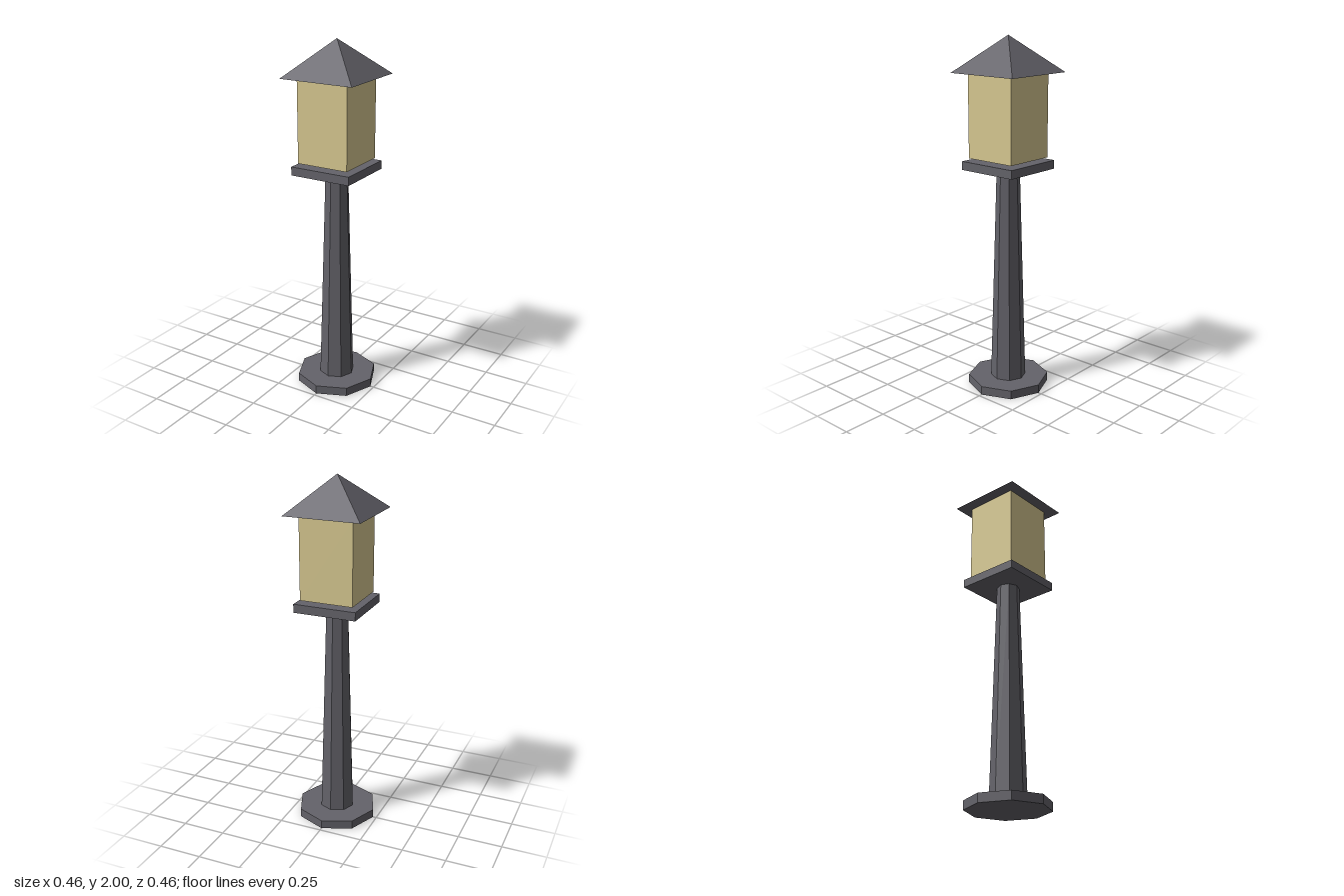
import * as THREE from 'three';

export function createModel() {
  const model = new THREE.Group();
  const iron = new THREE.MeshStandardMaterial({ color: 0x64636a });
  iron.name = 'dark iron';
  const glass = new THREE.MeshStandardMaterial({ color: 0xd8c991 });
  glass.name = 'warm glass';
  iron.flatShading = glass.flatShading = true;

  const add = (name, geometry, material, bottom, height) => {
    const mesh = new THREE.Mesh(geometry, material);
    mesh.name = name;
    mesh.position.y = bottom + height / 2;
    model.add(mesh);
    return mesh;
  };

  // Octagonal foot and tapered post, corners on the axes
  add('base', new THREE.CylinderGeometry(0.23, 0.23, 0.05, 8), iron, 0, 0.05);
  add('post', new THREE.CylinderGeometry(0.064, 0.1, 1.226, 8), iron, 0.05, 1.226);

  // Square platform with the lantern just above it
  add('platform', new THREE.BoxGeometry(0.358, 0.048, 0.358), iron, 1.276, 0.048);
  add('lantern', new THREE.BoxGeometry(0.304, 0.463, 0.304), glass, 1.34, 0.463);

  // Four-sided pyramid roof
  const roof = add('roof', new THREE.ConeGeometry(0.217 * Math.SQRT2, 0.197, 4), iron, 1.803, 0.197);
  roof.rotation.y = Math.PI / 4;

  return model;
}
